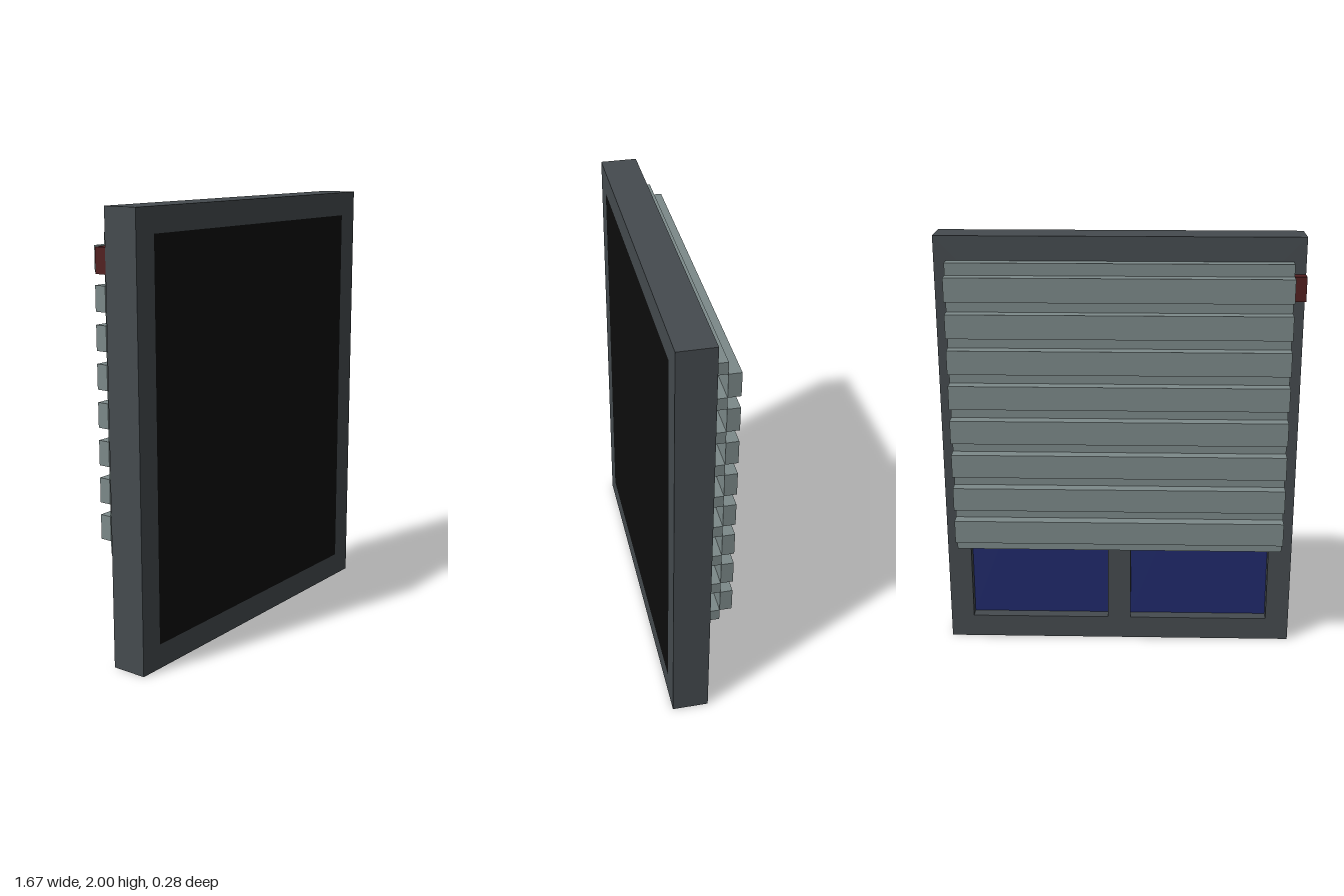
import * as THREE from 'three';

// Everything sits on a grid of 36 units to the full height.
const U = 2 / 36;

const mat = (name, color) => {
  const m = new THREE.MeshStandardMaterial({ color });
  m.name = name;
  return m;
};

// Box between grid limits [min, max] on each axis.
function block(name, material, x, y, z) {
  const size = [x, y, z].map(([a, b]) => (b - a) * U);
  const mid = [x, y, z].map(([a, b]) => ((a + b) / 2) * U);
  const mesh = new THREE.Mesh(new THREE.BoxGeometry(...size), material);
  mesh.position.set(...mid);
  mesh.name = name;
  return mesh;
}

const rectPoints = (x0, y0, x1, y1) =>
  [[x0, y0], [x1, y0], [x1, y1], [x0, y1]].map(([x, y]) => new THREE.Vector2(x * U, y * U));

export function createModel() {
  const frameGrey = mat('frame grey', 0x454b4f);
  const slatGrey = mat('slat grey', 0x7c8989);
  const glassBlue = mat('glass blue', 0x202a6c);
  const black = mat('panel black', 0x0d0d0d);
  const red = mat('control red', 0x521f20);

  const model = new THREE.Group();
  model.name = 'windowWithBlind';

  // Frame with a single opening
  const outline = new THREE.Shape(rectPoints(-15, 0, 15, 36));
  outline.holes.push(new THREE.Path(rectPoints(-13, 2, 13, 34)));
  const frame = new THREE.Mesh(
    new THREE.ExtrudeGeometry(outline, { depth: 3 * U, bevelEnabled: false }), frameGrey);
  frame.position.z = -0.5 * U;
  frame.name = 'frame';
  model.add(frame);

  // Black front panel, flush with the frame, and central bar on the back
  model.add(block('frontPanel', black, [-13, 13], [2, 34], [1.5, 2.5]));
  model.add(block('mullion', frameGrey, [-1, 1], [2, 34], [-0.5, 1.5]));

  // Recessed panes either side of the bar
  for (const [name, x] of [['leftPane', [1, 13]], ['rightPane', [-13, -1]]]) {
    model.add(block(name, glassBlue, x, [2, 34], [0.5, 1.5]));
  }

  // Blind: narrow inner slats alternating with tall outer ones
  const blind = new THREE.Group();
  blind.name = 'blind';
  for (let i = 0; i < 9; i++) {
    const top = 34 - 3 * i;
    blind.add(block('innerSlat', slatGrey, [-14, 14], [top - 1, top], [-1.5, -0.5]));
    if (i < 8) blind.add(block('outerSlat', slatGrey, [-14, 14], [top - 3, top - 1], [-2.5, -1.5]));
  }
  model.add(blind);

  // Small control box beside the top slat
  model.add(block('controlBox', red, [-15, -14], [31, 33], [-1.5, -0.5]));

  return model;
}
